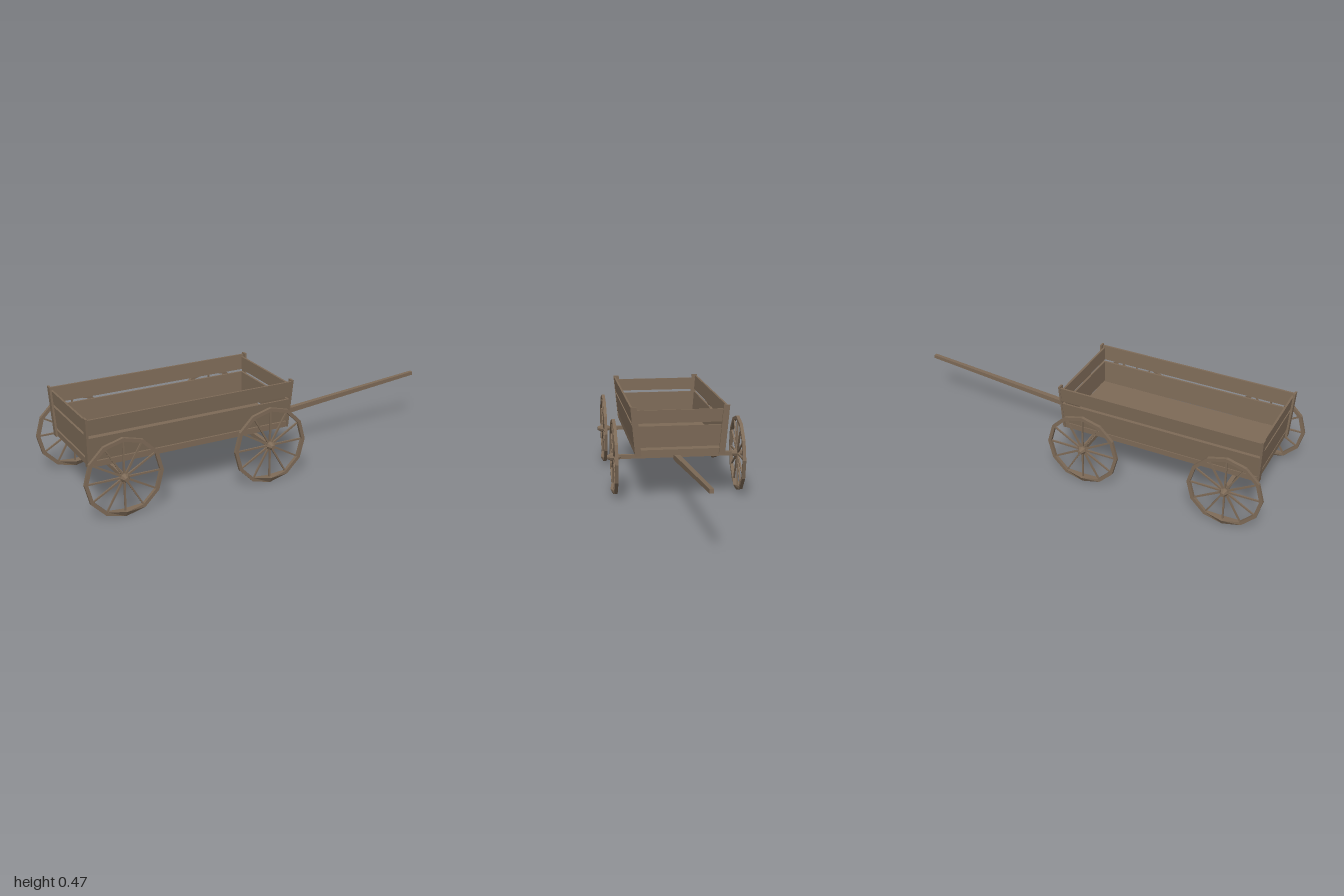
import * as THREE from 'three';

const wood = new THREE.MeshStandardMaterial({ color: 0x7d6a57 });
wood.name = 'weathered wood';

function part(parent, name, geometry) {
  const flat = geometry.index ? geometry.toNonIndexed() : geometry;
  flat.computeVertexNormals();
  const mesh = new THREE.Mesh(flat, wood);
  mesh.name = name;
  parent.add(mesh);
  return mesh;
}

function box(w, h, d, x, y, z) {
  return new THREE.BoxGeometry(w, h, d).translate(x, y, z);
}

// Leans the box walls outward with height
function flare(geometry) {
  const p = geometry.attributes.position;
  for (let i = 0; i < p.count; i++) {
    const t = Math.max(0, (p.getY(i) - 0.23) / 0.24);
    p.setX(i, p.getX(i) + Math.sign(p.getX(i)) * 0.012 * t);
    p.setZ(i, p.getZ(i) + Math.sign(p.getZ(i)) * 0.022 * t);
  }
  return geometry;
}

// Square tapered bar between two points
function bar(a, b, sizeA, sizeB) {
  const from = new THREE.Vector3(...a), to = new THREE.Vector3(...b);
  const dir = to.clone().sub(from);
  const g = new THREE.CylinderGeometry(sizeB * Math.SQRT1_2, sizeA * Math.SQRT1_2, dir.length(), 4);
  g.rotateY(Math.PI / 4);
  g.applyQuaternion(new THREE.Quaternion().setFromUnitVectors(new THREE.Vector3(0, 1, 0), dir.normalize()));
  const mid = from.add(to).multiplyScalar(0.5);
  return g.translate(mid.x, mid.y, mid.z);
}

// Twelve-sided rim, thicker and chamfered at its lowest joint
function rimGeometry() {
  const n = 12, pos = [], index = [];
  for (let i = 0; i < n; i++) {
    const a = -Math.PI / 2 + (i / n) * Math.PI * 2;
    const low = i === 0;
    const rOut = 0.19, rIn = low ? 0.163 : 0.173;
    const wOut = low ? 0.006 : 0.008, wIn = low ? 0.02 : 0.008;
    for (const [r, w] of [[rOut, wOut], [rOut, -wOut], [rIn, -wIn], [rIn, wIn]])
      pos.push(Math.cos(a) * r, Math.sin(a) * r, w);
    for (let j = 0; j < 4; j++) {
      const k = (j + 1) % 4, next = ((i + 1) % n) * 4;
      index.push(i * 4 + j, i * 4 + k, next + k, i * 4 + j, next + k, next + j);
    }
  }
  const g = new THREE.BufferGeometry();
  g.setAttribute('position', new THREE.Float32BufferAttribute(pos, 3));
  g.setIndex(index);
  return g;
}

function makeWheel(name) {
  const wheel = new THREE.Group();
  wheel.name = name;
  part(wheel, 'rim', rimGeometry());
  for (let i = 0; i < 12; i++) {
    const a = (i / 12) * Math.PI * 2, c = Math.cos(a), s = Math.sin(a);
    part(wheel, 'spoke', bar([c * 0.012, s * 0.012, 0], [c * 0.176, s * 0.176, 0], 0.009, 0.007));
  }
  const profile = [[0, -0.034], [0.01, -0.034], [0.021, -0.01], [0.021, 0.01], [0.01, 0.034], [0, 0.034]];
  part(wheel, 'hub', new THREE.LatheGeometry(profile.map(([r, y]) => new THREE.Vector2(r, y)), 8).rotateX(Math.PI / 2));
  return wheel;
}

export function createModel() {
  const model = new THREE.Group();
  model.name = 'wagon';
  const wagon = new THREE.Group();
  wagon.name = 'wagonBody';
  wagon.position.x = -0.365;
  wagon.rotation.y = -0.361;
  model.add(wagon);

  // Open box: floor, two planks per wall, corner posts
  const bed = new THREE.Group();
  bed.name = 'bed';
  bed.position.x = 0.012;
  wagon.add(bed);
  const L = 0.507, W = 0.217;
  part(bed, 'floor', box(L * 2, 0.028, W * 2, 0, 0.241, 0));
  for (const s of [-1, 1]) {
    for (const [y0, y1] of [[0.261, 0.373], [0.387, 0.463]])
      part(bed, 'sidePlank', flare(box(L * 2, y1 - y0, 0.01, 0, (y0 + y1) / 2, s * (W - 0.005))));
    for (const [y0, y1] of [[0.268, 0.373], [0.387, 0.451]])
      part(bed, 'endPlank', flare(box(0.01, y1 - y0, W * 2 - 0.02, s * (L - 0.005), (y0 + y1) / 2, 0)));
    for (const t of [-1, 1])
      part(bed, 'cornerPost', flare(box(0.01, 0.243, 0.03, s * (L + 0.005), 0.3485, t * (W - 0.013))));
  }

  // Axles, bolsters and wheels
  for (const [x, end] of [[-0.373, 'rear'], [0.373, 'front']]) {
    part(wagon, end + 'Axle', box(0.02, 0.02, 0.62, x, 0.195, 0));
    const bolster = box(0.03, 0.024, 0.3, x, 0.216, 0);
    const p = bolster.attributes.position;
    for (let i = 0; i < p.count; i++) if (p.getY(i) < 0.21) p.setZ(i, p.getZ(i) * 0.85);
    part(wagon, end + 'Bolster', bolster);
    for (const [z, side] of [[-0.31, 'Left'], [0.31, 'Right']]) {
      const wheel = makeWheel(end + side + 'Wheel');
      wheel.position.set(x, 0.195, z);
      wagon.add(wheel);
    }
  }

  // Centre beam and draw pole
  part(wagon, 'centreBeam', box(0.88, 0.026, 0.03, 0, 0.19, 0));
  part(wagon, 'drawPole', bar([0.43, 0.19, 0], [1.44, 0.281, 0], 0.028, 0.018));
  return model;
}
